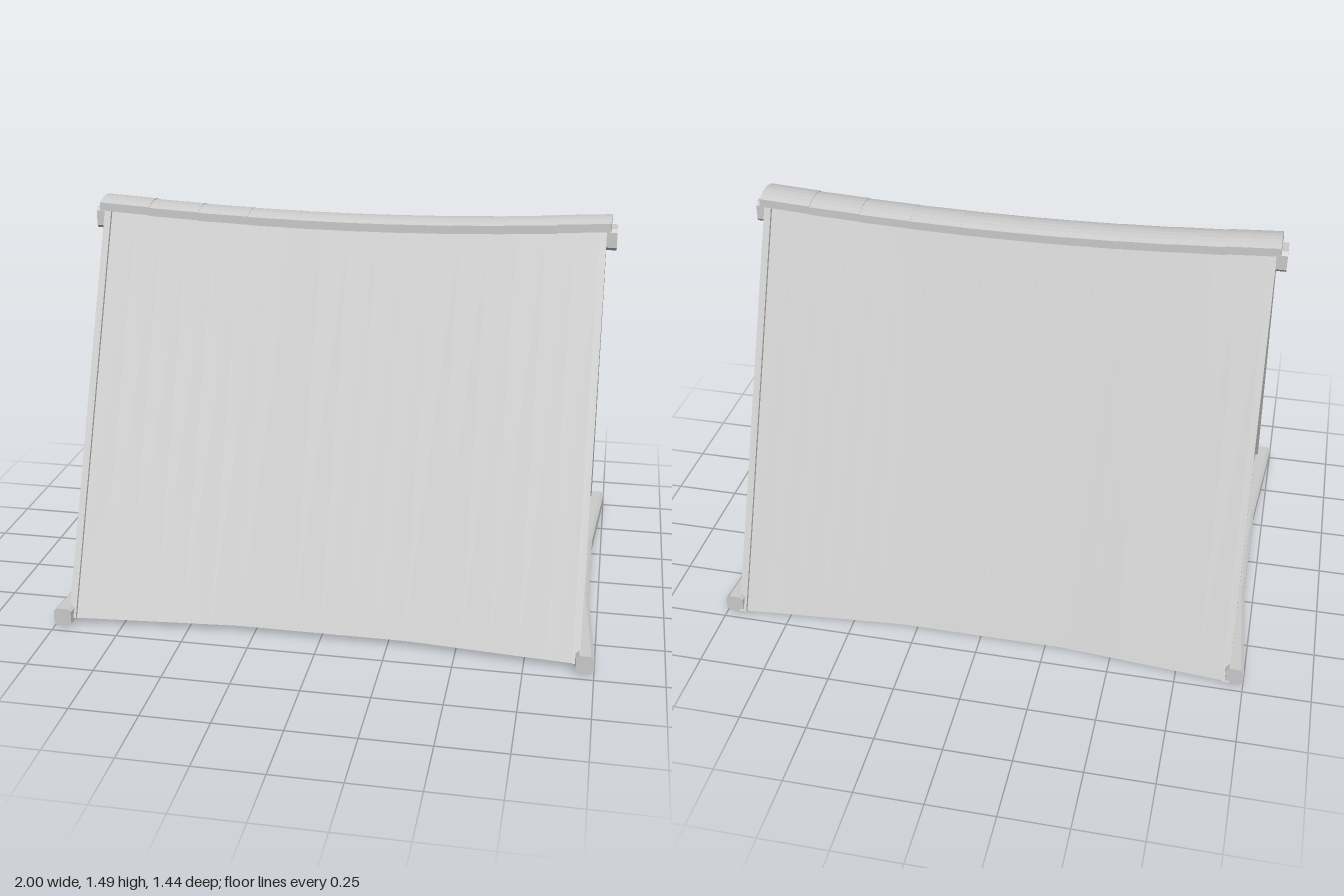
import * as THREE from 'three';

const MID = -0.008; // z of the ridge line
const HALF = 0.935; // half length of the slopes

const mat = new THREE.MeshStandardMaterial({ color: 0xcccccc, flatShading: true });
const thin = new THREE.MeshStandardMaterial({ color: 0xcccccc, side: THREE.DoubleSide });

function add(group, name, geometry, material = mat) {
  const mesh = new THREE.Mesh(geometry, material);
  mesh.name = name;
  group.add(mesh);
  return mesh;
}

// Inward bow of an edge: full in the middle third, fading to the ends
const bow = (t, depth) => depth * Math.min(1, (1 - Math.abs(t)) / 0.66);
const ridgeSag = (x) => 0.04 * (1 - (x / 0.965) ** 2);

// Square section with cut corners, centred on the origin
function chamferedSquare(w, h, c) {
  const a = w / 2, b = h / 2;
  return new THREE.Shape([
    [-a + c, -b], [a - c, -b], [a, -b + c], [a, b - c],
    [a - c, b], [-a + c, b], [-a, b - c], [-a, -b + c],
  ].map(([x, y]) => new THREE.Vector2(x, y)));
}

const foot = (side) => (side > 0 ? { y: 0.02, z: 0.69 } : { y: 0.0, z: -0.712 });
const topZ = (side) => MID + side * 0.05;

// Sloping sheet with a bowed eave and a sagging top edge
function slopeGeometry(side) {
  const g = new THREE.PlaneGeometry(2, 1, 18, 1);
  const p = g.attributes.position;
  const f = foot(side);
  for (let i = 0; i < p.count; i++) {
    const t = p.getX(i), x = t * HALF;
    if (p.getY(i) > 0) p.setXYZ(i, x * side, 1.435 - 0.75 * ridgeSag(x), topZ(side));
    else p.setXYZ(i, x * side, f.y, f.z - side * bow(t, 0.05));
  }
  g.computeVertexNormals();
  return g;
}

// Curved tile with a flat-sided arched section
function capGeometry(length) {
  const s = new THREE.Shape();
  s.moveTo(-0.07, 0);
  s.lineTo(-0.07, 0.031);
  s.quadraticCurveTo(0, 0.062, 0.07, 0.031);
  s.lineTo(0.07, 0);
  s.quadraticCurveTo(0, 0.031, -0.07, 0);
  const g = new THREE.ExtrudeGeometry(s, { depth: length, bevelEnabled: false, curveSegments: 6 });
  g.translate(0, 0, -length / 2);
  g.rotateY(Math.PI / 2);
  return g;
}

export function createModel() {
  const model = new THREE.Group();
  model.name = 'gableRoof';

  for (const side of [1, -1]) {
    add(model, side > 0 ? 'frontSlope' : 'backSlope', slopeGeometry(side), thin);
  }

  for (const end of [1, -1]) {
    const gable = new THREE.Group();
    gable.name = end > 0 ? 'leftGable' : 'rightGable';
    model.add(gable);

    // Triangular wall
    const wall = new THREE.Shape([
      new THREE.Vector2(-0.68, 0.04), new THREE.Vector2(0.696, 0.04),
      new THREE.Vector2(0.056, 1.43), new THREE.Vector2(-0.04, 1.43),
    ]);
    const wallGeo = new THREE.ShapeGeometry(wall);
    wallGeo.rotateY(Math.PI / 2);
    add(gable, 'gableWall', wallGeo, thin).position.x = end * 0.925;

    // Edge trim along both slopes
    for (const side of [1, -1]) {
      const f = foot(side);
      const dy = 1.435 - f.y, dz = topZ(side) - f.z;
      const trim = add(gable, 'edgeTrim', new THREE.BoxGeometry(0.026, Math.hypot(dy, dz), 0.024));
      trim.position.set(end * 0.936, f.y + dy / 2, f.z + dz / 2);
      trim.rotation.x = Math.atan2(dz, dy);
    }

    // Base beam, bowed towards the wall
    const beamGeo = new THREE.ExtrudeGeometry(chamferedSquare(0.066, 0.07, 0.012), {
      depth: 1.44, steps: 18, bevelEnabled: false,
    });
    beamGeo.translate(0, 0.035, -0.72);
    const p = beamGeo.attributes.position;
    for (let i = 0; i < p.count; i++) {
      p.setX(i, p.getX(i) + end * (0.967 - bow(p.getZ(i) / 0.72, 0.036)));
    }
    beamGeo.computeVertexNormals();
    add(gable, 'baseBeam', beamGeo);

    // Projecting end of the ridge beam
    const stubGeo = new THREE.ExtrudeGeometry(chamferedSquare(0.096, 0.08, 0.012), {
      depth: 0.07, bevelEnabled: false,
    });
    stubGeo.translate(0, 0, -0.035);
    stubGeo.rotateY(Math.PI / 2);
    add(gable, 'ridgeBeamEnd', stubGeo).position.set(end * 0.952, 1.4, MID);
  }

  // Sagging row of ridge caps
  const ridge = new THREE.Group();
  ridge.name = 'ridgeCaps';
  model.add(ridge);
  const count = 10, step = 1.93 / count;
  const capGeo = capGeometry(step * 1.005);
  const capMat = new THREE.MeshStandardMaterial({ color: 0xcccccc });
  for (let i = 0; i < count; i++) {
    const x = (i + 0.5) * step - 0.965;
    const cap = add(ridge, 'ridgeCap', capGeo, capMat);
    cap.position.set(x, 1.437 - ridgeSag(x), MID);
    cap.rotation.z = Math.atan(0.08 * x / 0.965 ** 2) * 0.8;
  }

  return model;
}
